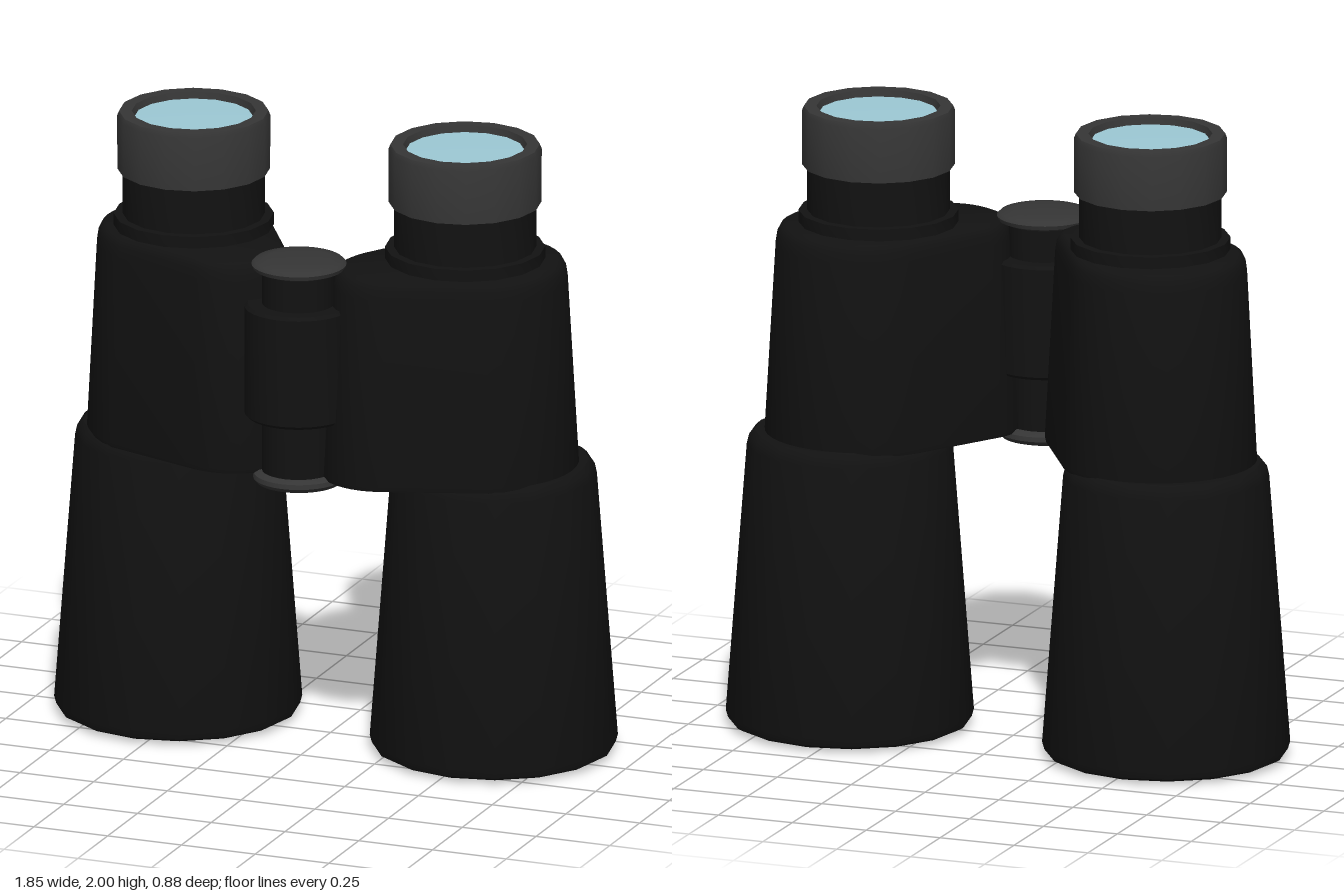
import * as THREE from 'three';
import { toCreasedNormals } from 'three/addons/utils/BufferGeometryUtils.js';

const SIDES = 16;
const black = new THREE.MeshStandardMaterial({ color: 0x121212 });
const grey = new THREE.MeshStandardMaterial({ color: 0x353535 });
const glass = new THREE.MeshStandardMaterial({ color: 0x9cc8d4 });

// Turned part: profile of [radius, y] pairs running from the bottom upwards
function turned(name, profile, material, x, z, sides = SIDES) {
  const points = profile.map(([r, y]) => new THREE.Vector2(r, y));
  const mesh = new THREE.Mesh(toCreasedNormals(new THREE.LatheGeometry(points, sides), 0.7), material);
  mesh.name = name;
  mesh.position.set(x, 0, z);
  return mesh;
}

// Outline around two circles: the prism housing and the lobe reaching the hinge
function housingOutline(steps) {
  const circles = [{ x: 0.5, z: -0.02, r: 0.31 }, { x: 0.25, z: 0.18, r: 0.2 }];
  const outline = [];
  for (let i = 0; i < steps; i++) {
    const a = (i / steps) * Math.PI * 2;
    const dx = Math.sin(a), dz = Math.cos(a);
    const reach = circles.map((c) => c.x * dx + c.z * dz + c.r);
    const c = circles[reach[0] > reach[1] ? 0 : 1];
    outline.push([c.x + dx * c.r, c.z + dz * c.r]);
  }
  return outline;
}

// Prism housing: the outline lofted upwards, shrinking towards the eyepiece axis
function housing(side) {
  const outline = housingOutline(40);
  if (side < 0) outline.reverse();
  const rows = [[0.94, 0], [0.94, 0.99], [0.955, 1], [1.56, 0.905], [1.595, 0.89], [1.615, 0.86], [1.622, 0.82], [1.622, 0]];
  const positions = [], index = [], n = outline.length;
  for (const [y, s] of rows) {
    for (const [x, z] of outline) {
      positions.push(side * (0.46 + (x - 0.46) * s), y, 0.03 + (z - 0.03) * s);
    }
  }
  for (let j = 0; j < rows.length - 1; j++) {
    for (let i = 0; i < n; i++) {
      const a = j * n + i, b = j * n + ((i + 1) % n);
      index.push(a, b, a + n, b, b + n, a + n);
    }
  }
  const geometry = new THREE.BufferGeometry();
  geometry.setAttribute('position', new THREE.Float32BufferAttribute(positions, 3));
  geometry.setIndex(index);
  const mesh = new THREE.Mesh(toCreasedNormals(geometry, 0.7), black);
  mesh.name = 'prismHousing';
  return mesh;
}

function createHalf(side) {
  const half = new THREE.Group();
  half.name = side > 0 ? 'leftHalf' : 'rightHalf';
  const barrelX = side * 0.535, barrelZ = -0.045;
  const eyeX = side * 0.46, eyeZ = 0.01;

  // Objective barrel, open at the bottom around the front lens
  half.add(turned('objectiveBarrel', [
    [0.305, 0.04], [0.31, 0.015], [0.325, 0.01], [0.365, 0.01], [0.383, 0.02], [0.39, 0.045],
    [0.324, 0.91], [0.317, 0.94], [0.3, 0.955], [0, 0.955],
  ], black, barrelX, barrelZ));

  // Slightly bulging front lens
  const dome = [0, 0.08, 0.16, 0.24, 0.31].map((r) => [r, 0.03 * (r / 0.31) ** 2]);
  half.add(turned('objectiveLens', dome, glass, barrelX, barrelZ));

  half.add(housing(side));

  // Eyepiece: collar, flange and neck in one turning
  half.add(turned('eyepieceNeck', [
    [0.235, 1.6], [0.235, 1.625], [0.252, 1.625], [0.252, 1.663], [0.224, 1.663], [0.224, 1.82],
  ], black, eyeX, eyeZ));
  half.add(turned('eyecup', [
    [0.2, 1.81], [0.24, 1.81], [0.241, 1.985], [0.235, 2], [0.195, 2], [0.185, 1.97],
  ], grey, eyeX, eyeZ));
  half.add(turned('eyepieceLens', [[0.187, 1.98], [0, 1.985]], glass, eyeX, eyeZ));
  return half;
}

export function createModel() {
  const model = new THREE.Group();
  model.name = 'binoculars';
  model.add(createHalf(1), createHalf(-1));

  // Central hinge with focus sleeve and end caps
  const hinge = new THREE.Group();
  hinge.name = 'hinge';
  const z = 0.27, sides = 32;
  hinge.add(turned('hingeRod', [[0.115, 0.93], [0.115, 1.62]], black, 0, z, sides));
  hinge.add(turned('focusSleeve', [
    [0.1, 1.13], [0.16, 1.13], [0.17, 1.14], [0.17, 1.49], [0.16, 1.5], [0.1, 1.5],
  ], black, 0, z, sides));
  hinge.add(turned('topCap', [
    [0, 1.605], [0.12, 1.605], [0.145, 1.615], [0.15, 1.628], [0.14, 1.638], [0.1, 1.645], [0, 1.648],
  ], grey, 0, z - 0.005, sides));
  hinge.add(turned('bottomCap', [
    [0, 0.898], [0.1, 0.902], [0.135, 0.912], [0.145, 0.925], [0.143, 0.94], [0.125, 0.95], [0, 0.95],
  ], grey, 0, z - 0.005, sides));
  model.add(hinge);
  return model;
}
